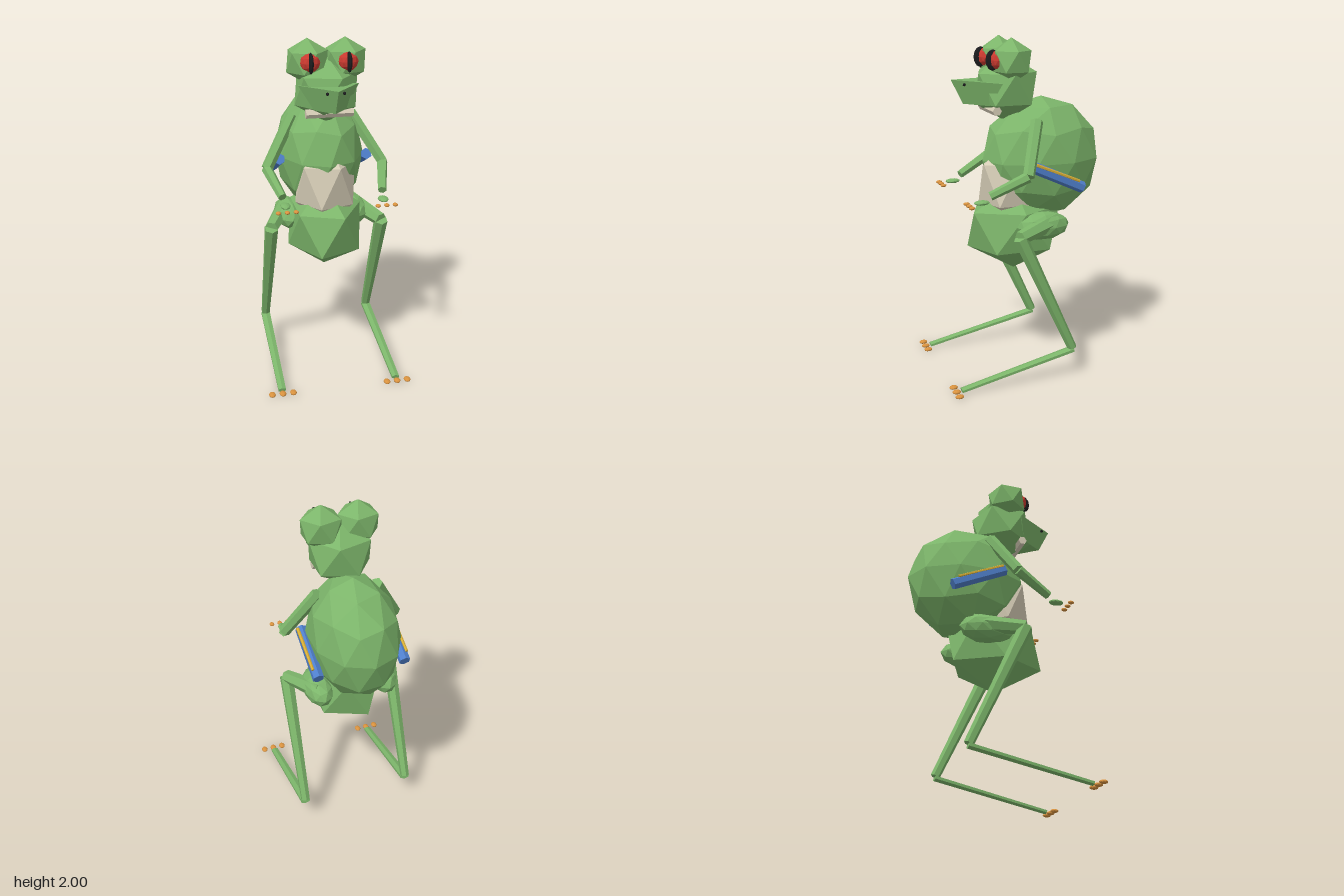
import * as THREE from 'three';

const mat = (name, color) => {
  const m = new THREE.MeshStandardMaterial({ color, flatShading: true });
  m.name = name;
  return m;
};

// Icosahedron standing on a pole: two staggered rings of five plus the poles
function icoBall(detail) {
  const v = [0, -1, 0], f = [];
  const h = 1 / Math.sqrt(5), r = 2 * h;
  for (const [offset, y] of [[Math.PI / 5, -h], [0, h]]) {
    for (let i = 0; i < 5; i++) {
      const a = offset + i * Math.PI * 0.4;
      v.push(r * Math.cos(a), y, -r * Math.sin(a));
    }
  }
  v.push(0, 1, 0);
  for (let i = 0; i < 5; i++) {
    const j = (i + 1) % 5;
    const lo = 1 + i, lo2 = 1 + j, up = 6 + i, up2 = 6 + j;
    f.push(0, lo2, lo, lo, up2, up, lo, lo2, up2, 11, up, up2);
  }
  return new THREE.PolyhedronGeometry(v, f, 1, detail);
}

export function createModel() {
  const green = mat('skin green', 0x7cb56a);
  const tan = mat('belly tan', 0xd8cfb8);
  const red = mat('eye red', 0xcc3a30);
  const black = mat('pupil black', 0x1c1c1e);
  const orange = mat('toe orange', 0xd8923f);
  const blue = mat('roll blue', 0x4f7fcb);
  const yellow = mat('stripe yellow', 0xd6ac35);

  const group = new THREE.Group();
  const coarse = icoBall(0), fine = icoBall(1);

  const add = (name, geometry, material) => {
    const m = new THREE.Mesh(geometry, material);
    m.name = name;
    group.add(m);
    return m;
  };
  const ball = (name, material, pos, size, geometry = fine) => {
    const m = add(name, geometry, material);
    m.position.set(...pos);
    m.scale.set(...size);
    return m;
  };
  // Six-sided tapered bar from a to b; flat squeezes its thickness
  const limb = (name, material, a, b, ra, rb, flat = 1) => {
    const p = new THREE.Vector3(...a), q = new THREE.Vector3(...b);
    const dir = q.clone().sub(p);
    const m = add(name, new THREE.CylinderGeometry(rb, ra, dir.length(), 6), material);
    m.position.copy(p).add(q).multiplyScalar(0.5);
    m.quaternion.setFromUnitVectors(new THREE.Vector3(0, 1, 0), dir.normalize());
    m.scale.z = flat;
    return m;
  };

  // Trunk
  ball('body', green, [0, 1.285, -0.155], [0.263, 0.365, 0.367]);
  ball('hips', green, [0, 0.873, 0.02], [0.246, 0.265, 0.317], coarse);
  ball('belly', tan, [0, 1.15, 0.05], [0.2, 0.27, 0.2], coarse);

  // Head, snout and throat
  ball('head', green, [0, 1.71, 0.07], [0.203, 0.197, 0.206], coarse);
  const snout = add('snout', new THREE.CylinderGeometry(0.167, 0.09, 0.135, 3), green);
  snout.position.set(0, 1.688, 0.232);
  snout.scale.x = 1.2;
  snout.rotation.x = -0.06;
  limb('throat', tan, [-0.136, 1.592, 0.165], [0.136, 1.592, 0.165], 0.027, 0.027);

  for (const s of [-1, 1]) {
    const side = s > 0 ? 'left' : 'right';

    // Eyes and nostrils
    ball(side + 'EyeBulge', green, [s * 0.108, 1.87, 0.07], [0.133, 0.13, 0.126], coarse);
    ball(side + 'Eye', red, [s * 0.108, 1.878, 0.155], [0.058, 0.055, 0.045]);
    ball(side + 'Pupil', black, [s * 0.108, 1.878, 0.182], [0.015, 0.06, 0.042]);
    ball(side + 'Nostril', black, [s * 0.047, 1.74, 0.33], [0.01, 0.01, 0.01], coarse);

    // Arm, hand and fingers
    const elbow = [s * 0.345, 1.25, 0.055];
    limb(side + 'UpperArm', green, [s * 0.175, 1.53, -0.06], elbow, 0.037, 0.034);
    limb(side + 'Forearm', green, elbow, [s * 0.29, 1.145, 0.262], 0.032, 0.025);
    ball(side + 'Hand', green, [s * 0.283, 1.11, 0.312], [0.03, 0.014, 0.046]);
    for (const k of [-1, 0, 1]) {
      ball(side + 'Finger', orange, [s * 0.284 + k * 0.05, 1.098, 0.385], [0.015, 0.01, 0.019]);
    }

    // Leg, foot and toes
    const knee = [s * 0.333, 0.895, 0.1], ankle = [s * 0.335, 0.175, -0.232];
    ball(side + 'Haunch', green, [s * 0.2, 0.915, -0.09], [0.085, 0.085, 0.165]);
    limb(side + 'Thigh', green, [s * 0.2, 0.94, -0.17], knee, 0.055, 0.04);
    limb(side + 'Shin', green, knee, ankle, 0.042, 0.028);
    limb(side + 'Foot', green, [s * 0.335, 0.165, -0.235], [s * 0.344, 0.02, 0.465], 0.031, 0.025, 0.55);
    for (const k of [-1, 0, 1]) {
      ball(side + 'Toe', orange, [s * 0.345 + k * 0.062, 0.016, 0.496], [0.02, 0.012, 0.026]);
    }

    // Slanted roll at the flank with a stripe along it
    limb(side + 'Roll', blue, [s * 0.262, 1.285, 0.0], [s * 0.26, 1.14, -0.315], 0.034, 0.034);
    limb(side + 'RollStripe', yellow, [s * 0.284, 1.298, -0.015], [s * 0.282, 1.185, -0.285], 0.011, 0.009);
  }
  return group;
}
